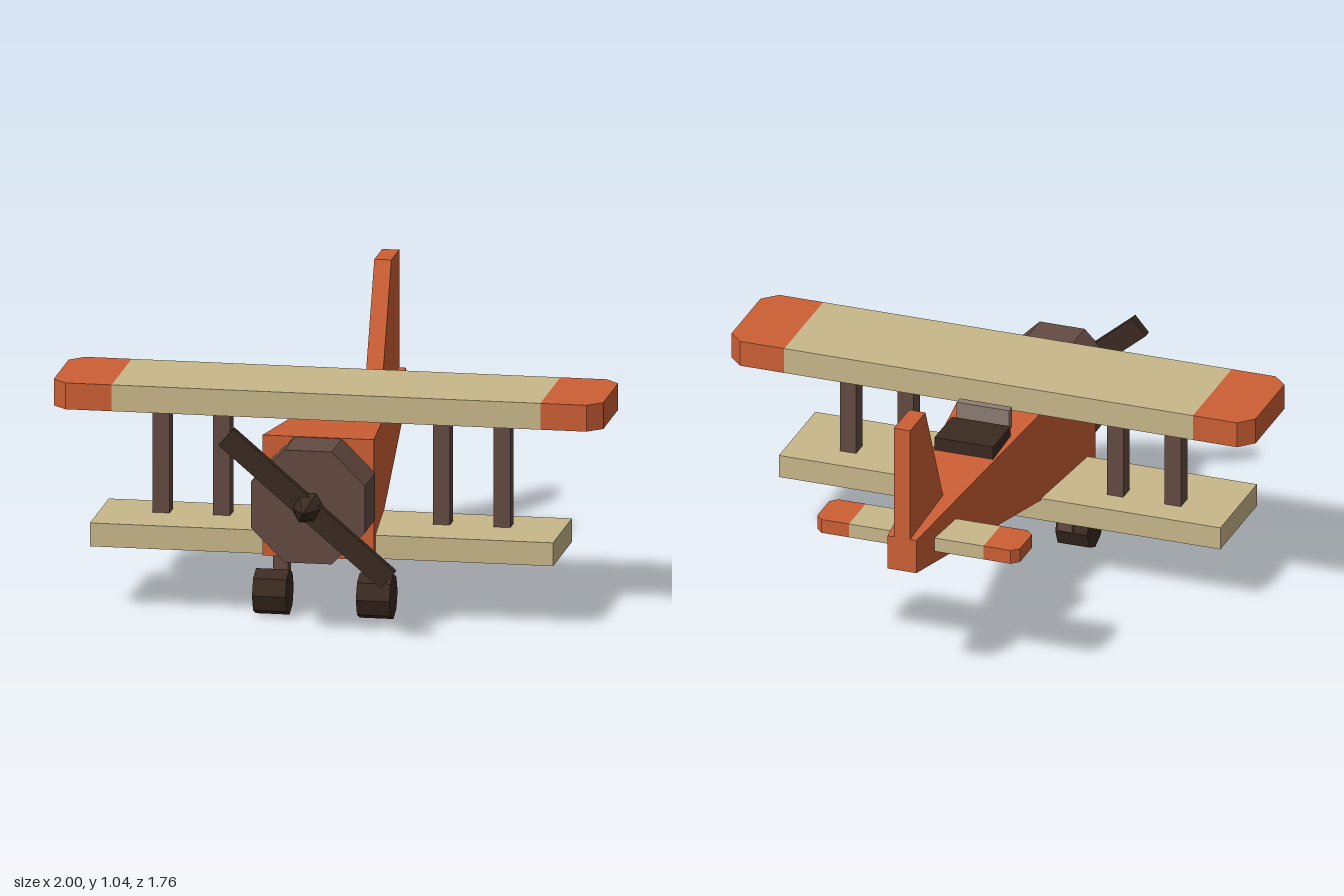
import * as THREE from 'three';

const mat = (name, color) => {
  const m = new THREE.MeshStandardMaterial({ color, flatShading: true });
  m.name = name;
  return m;
};

export function createModel() {
  const orange = mat('orange paint', 0xcc5f35);
  const cream = mat('cream canvas', 0xc8b78a);
  const brown = mat('brown wood', 0x644b42);
  const dark = mat('dark brown', 0x3b2b21);
  const glass = mat('windshield grey', 0x8c7c71);

  const plane = new THREE.Group();
  plane.name = 'biplane';

  const add = (name, geometry, material, x = 0, y = 0, z = 0, parent = plane) => {
    const mesh = new THREE.Mesh(geometry, material);
    mesh.name = name;
    mesh.position.set(x, y, z);
    parent.add(mesh);
    return mesh;
  };

  // Box given by its extents on each axis
  const box = (name, material, [x0, x1], [y0, y1], [z0, z1]) =>
    add(name, new THREE.BoxGeometry(x1 - x0, y1 - y0, z1 - z0), material,
      (x0 + x1) / 2, (y0 + y1) / 2, (z0 + z1) / 2);

  // Wing with a cream middle and orange tips with cut corners
  const tippedWing = (name, half, inner, cut, [y0, y1], [z0, z1]) => {
    const wing = new THREE.Group();
    wing.name = name;
    plane.add(wing);
    add(name + 'Middle', new THREE.BoxGeometry(inner * 2, y1 - y0, z1 - z0), cream,
      0, (y0 + y1) / 2, (z0 + z1) / 2, wing);
    for (const s of [1, -1]) {
      const outline = [
        [inner, z0], [half - cut, z0], [half, z0 + cut],
        [half, z1 - cut], [half - cut, z1], [inner, z1],
      ].map(([x, z]) => new THREE.Vector2(s * x, z));
      const tip = new THREE.ExtrudeGeometry(new THREE.Shape(outline),
        { depth: y1 - y0, bevelEnabled: false });
      tip.rotateX(Math.PI / 2);
      add(name + (s > 0 ? 'LeftTip' : 'RightTip'), tip, orange, 0, y1, 0, wing);
    }
  };

  // Fuselage: a box tapering towards the tail
  const body = new THREE.BoxGeometry(1, 1, 1);
  const p = body.attributes.position;
  for (let i = 0; i < p.count; i++) {
    const front = p.getZ(i) > 0;
    const up = p.getY(i) > 0;
    const y = front ? (up ? 0.69 : 0.246) : (up ? 0.602 : 0.472);
    p.setXYZ(i, Math.sign(p.getX(i)) * (front ? 0.203 : 0.055), y, front ? 0.568 : -0.88);
  }
  body.computeVertexNormals();
  add('fuselage', body, orange);

  // Tail fin, outlined in the side plane
  const finShape = new THREE.Shape([
    [-0.54, 0.61], [-0.54, 0.622], [-0.722, 1.036], [-0.88, 1.036], [-0.88, 0.59],
  ].map(([z, y]) => new THREE.Vector2(-z, y)));
  const fin = new THREE.ExtrudeGeometry(finShape, { depth: 0.062, bevelEnabled: false });
  fin.rotateY(Math.PI / 2);
  add('tailFin', fin, orange, -0.031);

  // Wings and tailplane
  tippedWing('upperWing', 1, 0.78, 0.052, [0.715, 0.812], [0.012, 0.413]);
  tippedWing('tailplane', 0.387, 0.257, 0.026, [0.494, 0.547], [-0.734, -0.56]);
  box('lowerWing', cream, [-0.843, 0.843], [0.236, 0.322], [0.126, 0.502]);

  // Octagonal engine cowl
  const cowl = new THREE.CylinderGeometry(0.224, 0.224, 0.206, 8);
  cowl.rotateY(Math.PI / 8).rotateX(Math.PI / 2);
  add('engineCowl', cowl, brown, 0, 0.481, 0.668);

  // Propeller and spinner
  const blade = add('propeller', new THREE.BoxGeometry(0.775, 0.08, 0.034), dark, 0, 0.481, 0.782);
  blade.rotation.z = -0.705;
  const cone = new THREE.ConeGeometry(0.062, 0.1, 6);
  cone.rotateY(Math.PI / 6).rotateX(Math.PI / 2);
  add('spinner', cone, dark, 0, 0.481, 0.83);

  // Cockpit and windshield
  box('cockpit', dark, [-0.112, 0.112], [0.63, 0.69], [-0.243, -0.065]);
  box('windshield', glass, [-0.1, 0.1], [0.665, 0.742], [-0.047, -0.014]);

  // Struts, landing legs and wheels on both sides
  for (const s of [1, -1]) {
    const side = s > 0 ? 'Left' : 'Right';
    for (const [label, x] of [['inner', 0.4], ['outer', 0.62]]) {
      add(label + 'Strut' + side, new THREE.BoxGeometry(0.062, 0.42, 0.066), brown,
        s * x, 0.518, 0.27);
    }
    add('landingLeg' + side, new THREE.BoxGeometry(0.056, 0.165, 0.056), brown,
      s * 0.168, 0.1725, 0.371);
    const wheel = new THREE.CylinderGeometry(0.083, 0.083, 0.122, 8);
    wheel.rotateZ(Math.PI / 2);
    add('wheel' + side, wheel, dark, s * 0.189, 0.083, 0.437);
  }

  return plane;
}
